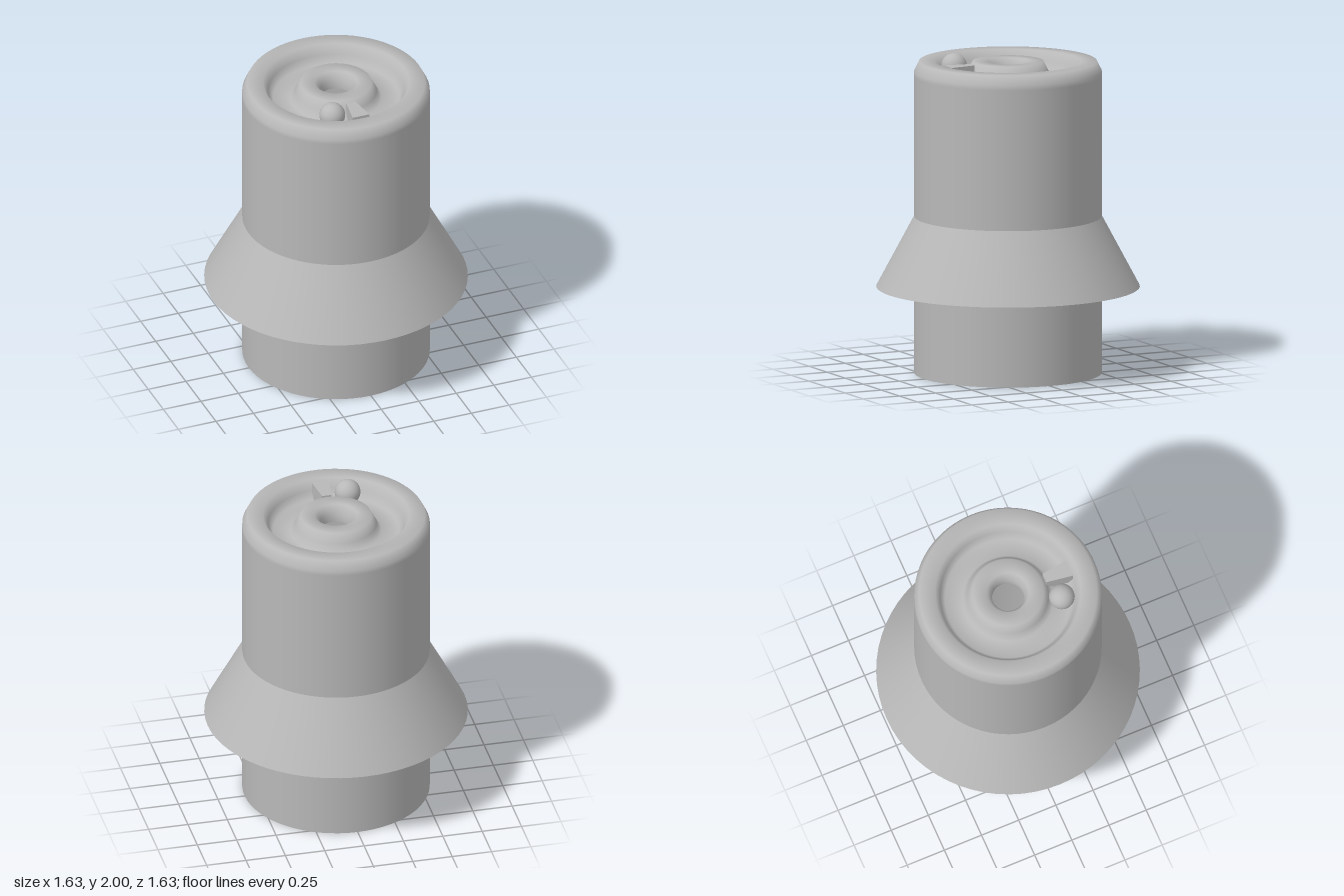
import * as THREE from 'three';

const SEGMENTS = 64;

export function createModel() {
  const model = new THREE.Group();
  model.name = 'flangedTube';

  const grey = new THREE.MeshStandardMaterial({ color: 0xb8b8b8, side: THREE.DoubleSide });
  grey.name = 'plain grey';

  const add = (name, geometry) => {
    const mesh = new THREE.Mesh(geometry, grey);
    mesh.name = name;
    model.add(mesh);
    return mesh;
  };
  const lathe = (profile) =>
    new THREE.LatheGeometry(profile.map(([r, y]) => new THREE.Vector2(r, y)), SEGMENTS);

  // Open tube wall
  add('tubeWall', lathe([[0.58, 0], [0.58, 1.86]]));

  // Top face: rounded rim, ring groove, raised hub and central hole
  add('groovedTop', lathe([
    [0.58, 1.86], [0.58, 1.89], [0.55, 1.95], [0.45, 1.95], [0.42, 1.89],
    [0.39, 1.84], [0.28, 1.84], [0.25, 1.89],
    [0.22, 1.95], [0.13, 1.95], [0.1, 1.89], [0.1, 1.84],
  ]));

  // Flared skirt, open underneath
  add('skirt', lathe([[0.815, 0.54], [0.58, 0.98]]));

  // Ball resting in the groove
  add('ball', new THREE.SphereGeometry(0.08, 32, 20)).position.set(-0.145, 1.92, 0.3);

  // Tapered stop block across the groove
  const outline = new THREE.Shape();
  outline.moveTo(-0.03, 0.245);
  outline.lineTo(0.03, 0.245);
  outline.lineTo(0.055, 0.415);
  outline.lineTo(-0.055, 0.415);
  const block = new THREE.ExtrudeGeometry(outline, { depth: 0.105, bevelEnabled: false });
  block.rotateX(Math.PI / 2);
  add('stopBlock', block).position.y = 1.945;

  return model;
}
